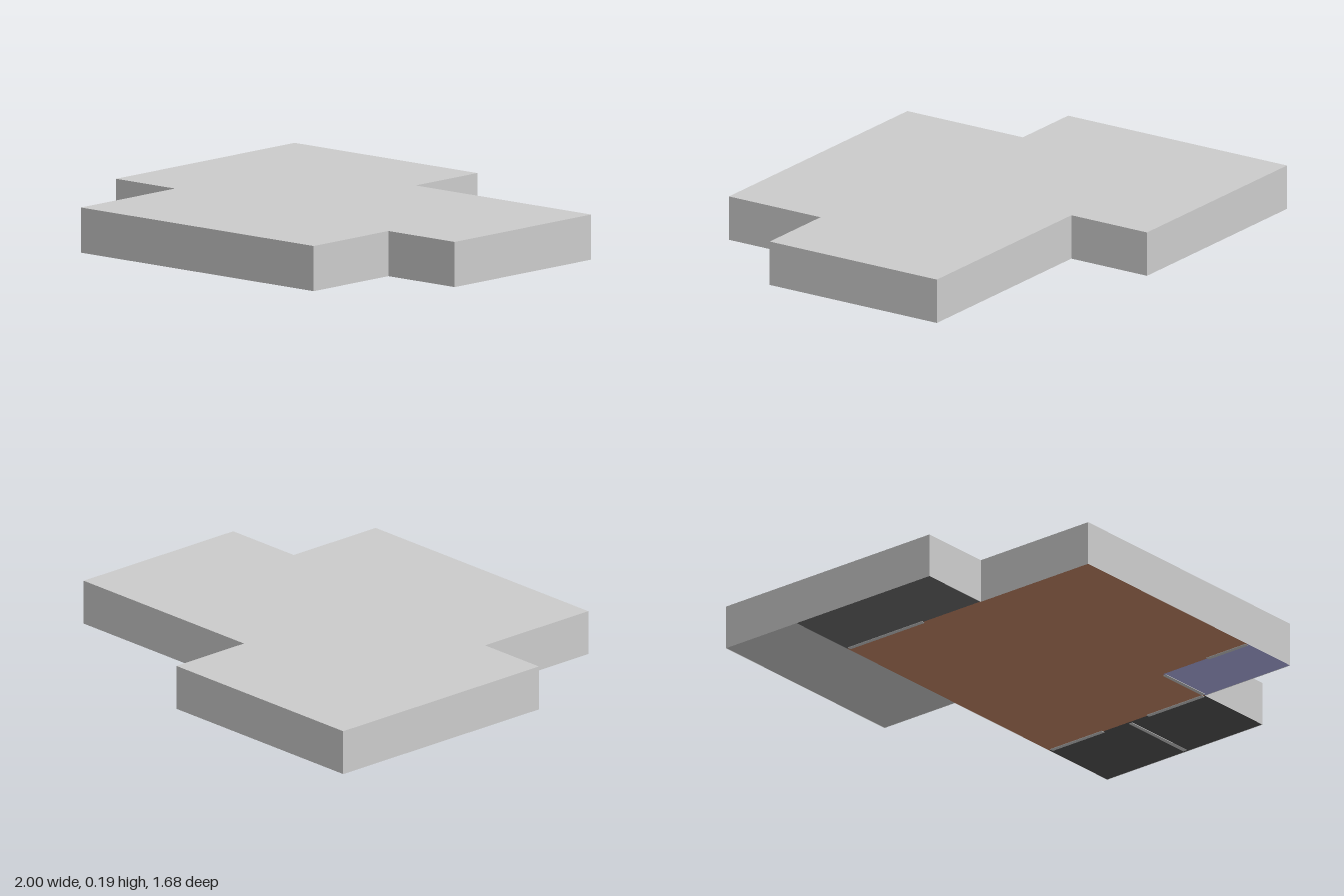
import * as THREE from 'three';

const HEIGHT = 0.19;

const paint = (color) => new THREE.MeshStandardMaterial({ color, side: THREE.DoubleSide });

// Horizontal panel from a plan outline given as [x, z] corners
function panel(name, corners, y, material, faceUp = false) {
  const s = faceUp ? -1 : 1;
  const shape = new THREE.Shape(corners.map(([x, z]) => new THREE.Vector2(x, s * z)));
  const geometry = new THREE.ShapeGeometry(shape).rotateX(s * Math.PI / 2);
  const mesh = new THREE.Mesh(geometry, material);
  mesh.name = name;
  mesh.position.y = y;
  return mesh;
}

const rect = (x0, z0, x1, z1) => [[x0, z0], [x1, z0], [x1, z1], [x0, z1]];

export function createModel() {
  const model = new THREE.Group();
  model.name = 'floorPlan';
  const grey = paint(0xcccccc);

  // Stepped footprint, anticlockwise as seen from above
  const outline = [
    [-1, -0.84], [-1, 0.26], [-0.67, 0.26], [-0.67, 0.84], [0.63, 0.84],
    [0.63, 0.38], [1, 0.38], [1, -0.46], [0.02, -0.46], [0.02, -0.84],
  ];
  model.add(panel('ceiling', outline, HEIGHT, grey, true));

  // Outer walls, one per footprint edge, facing outwards
  const walls = new THREE.Group();
  walls.name = 'outerWalls';
  outline.forEach(([x0, z0], i) => {
    const [x1, z1] = outline[(i + 1) % outline.length];
    const wall = new THREE.Mesh(new THREE.PlaneGeometry(Math.hypot(x1 - x0, z1 - z0), HEIGHT), grey);
    wall.name = 'outerWall';
    wall.position.set((x0 + x1) / 2, HEIGHT / 2, (z0 + z1) / 2);
    wall.rotation.y = Math.atan2(-(z1 - z0), x1 - x0);
    walls.add(wall);
  });
  model.add(walls);

  // Room floors
  const floors = [
    ['mainFloor', [[-0.67, -0.46], [0.63, -0.46], [0.63, 0.38], [0.36, 0.38], [0.36, 0.84], [-0.67, 0.84]], 0xc48667],
    ['frontCornerFloor', rect(0.36, 0.38, 0.63, 0.84), 0xb0b0e7],
    ['leftBackFloor', rect(0.63, -0.46, 1, -0.03), 0x545454],
    ['leftFrontFloor', rect(0.63, -0.03, 1, 0.38), 0x545454],
    ['rightFloor', rect(-1, -0.46, -0.67, 0.26), 0x6b6b6b],
    ['backFloor', rect(-1, -0.84, 0.02, -0.46), 0xcccccc],
  ];
  for (const [name, corners, color] of floors) model.add(panel(name, corners, 0.002, paint(color)));

  // Partitions between rooms, with door gaps: x0, z0, x1, z1
  const partitions = new THREE.Group();
  partitions.name = 'partitions';
  const t = 0.018;
  for (const [x0, z0, x1, z1] of [
    [0.63, -0.45, 0.63, -0.17],
    [0.63, 0.07, 0.63, 0.37],
    [0.64, -0.03, 0.99, -0.03],
    [0.37, 0.38, 0.62, 0.38],
    [0.36, 0.62, 0.36, 0.83],
    [-0.67, -0.45, -0.67, -0.05],
  ]) {
    const box = new THREE.BoxGeometry(x1 - x0 + (x0 === x1 ? t : 0), HEIGHT - 0.004, z1 - z0 + (z0 === z1 ? t : 0));
    const wall = new THREE.Mesh(box, grey);
    wall.name = 'partition';
    wall.position.set((x0 + x1) / 2, HEIGHT / 2 - 0.002, (z0 + z1) / 2);
    partitions.add(wall);
  }
  model.add(partitions);

  return model;
}
